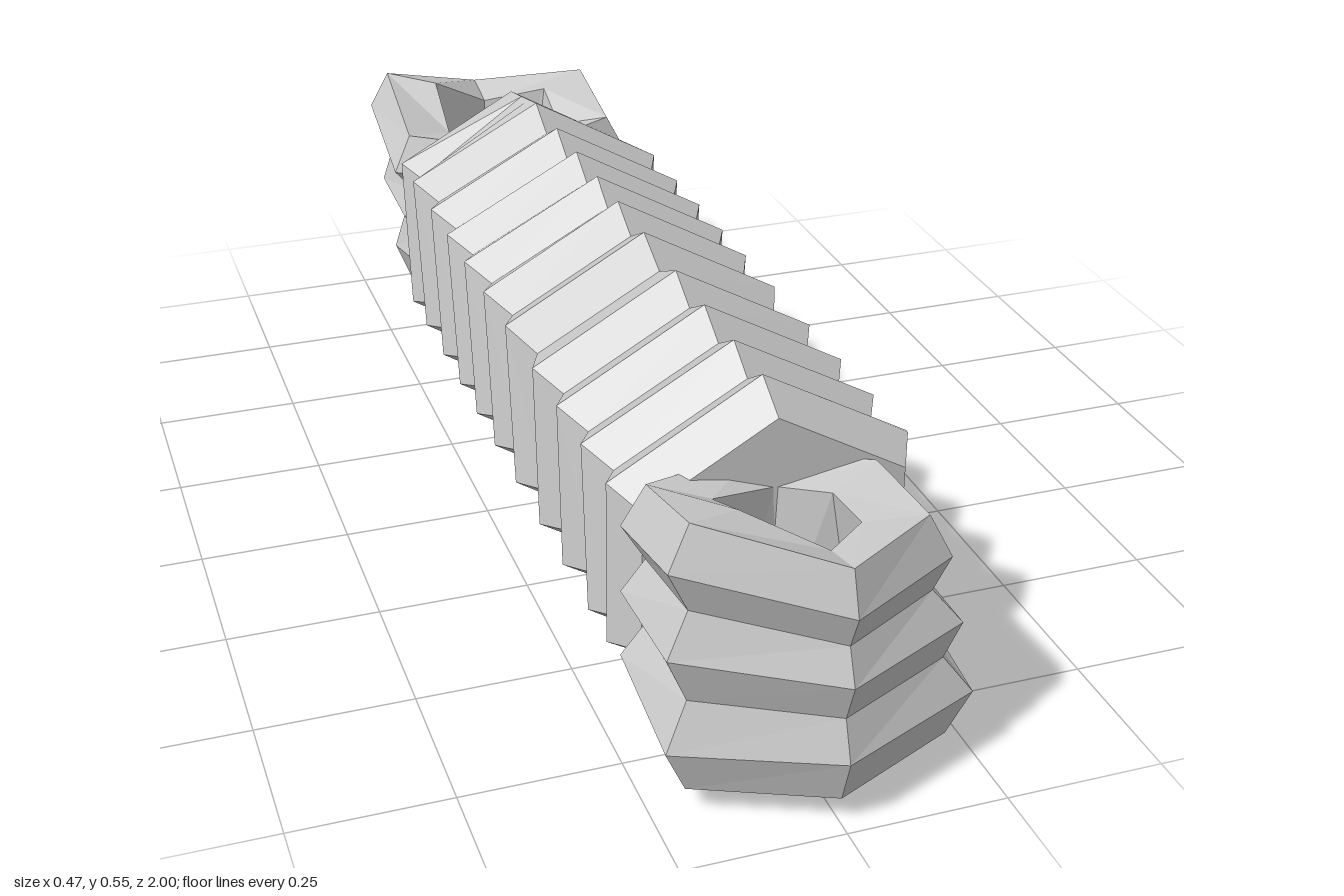
import * as THREE from 'three';

const material = new THREE.MeshStandardMaterial({ color: 0xcccccc, flatShading: true, side: THREE.DoubleSide });
const STEP = Math.PI / 3;
const lerp = THREE.MathUtils.lerp;

// Skins neighbouring columns of points, each column being one cross-section
function loft(name, columns) {
  const positions = [];
  const tri = (...corners) => corners.forEach(p => positions.push(p.x, p.y, p.z));
  for (let j = 0; j < columns.length - 1; j++) {
    for (let i = 0; i < columns[j].length - 1; i++) {
      const a = columns[j][i], b = columns[j][i + 1], c = columns[j + 1][i + 1], d = columns[j + 1][i];
      tri(a, d, c);
      tri(a, c, b);
    }
  }
  const geometry = new THREE.BufferGeometry();
  geometry.setAttribute('position', new THREE.Float32BufferAttribute(positions, 3));
  geometry.computeVertexNormals();
  const mesh = new THREE.Mesh(geometry, material);
  mesh.name = name;
  return mesh;
}

// Long helical winding around the z axis, squared off at both ends
function mainWinding() {
  // Ridge positions along the top and along the bottom
  const top = [0.635, 0.635, 0.52, 0.395, 0.265, 0.11, -0.025, -0.14, -0.26, -0.38, -0.515, -0.615];
  const bottom = [0.635, 0.57, 0.43, 0.305, 0.18, 0.05, -0.075, -0.19, -0.315, -0.44, -0.56];
  const toBottom = [0, 0.1, 0.75, 1];
  const columns = [];
  for (let j = 0; j <= 6; j++) {
    const ridges = bottom.map((b, i) => {
      const toTop = [0, 0.5, i > 5 ? 1.3 : 1.1, 1];
      return j <= 3 ? lerp(top[i], b, toBottom[j]) : lerp(b, top[i + 1], toTop[j - 3]);
    });
    const at = (r, z) => new THREE.Vector3(r * Math.sin(j * STEP), 0.278 + r * Math.cos(j * STEP), z);
    const column = [at(0, 0.7), at(0.235, 0.7)];
    ridges.forEach((z, i) => {
      // The winding runs out in a straight slope at the top of the back end
      const runsOut = j === 6 && i === ridges.length - 1;
      if (i > 0) {
        const gap = ridges[i - 1] - z;
        const depth = runsOut ? 0.011 : 0.036 * Math.min(1, (gap / 0.1) ** 3);
        column.push(at(0.273 - depth, z + gap / 2));
      }
      column.push(at(runsOut ? 0.251 : 0.273, z));
    });
    column.push(at(0.235, -0.69), at(0, -0.69));
    columns.push(column);
  }
  return loft('mainWinding', columns);
}

// Short upright winding of three ridges around a straight-walled eye.
// Columns run from the tip round by +x; shape gives size, eye width and side inset by height 0..1.
function endWinding(name, facing, ridgeColumns, shape) {
  const columns = ridgeColumns.map((ridges, j) => {
    const s = Math.sin(j * STEP), c = Math.cos(j * STEP);
    const at = (rx, rz, y, inset) =>
      new THREE.Vector3(s * rx - (s > 0.1 ? inset : 0), y, facing * (0.798 + c * rz));
    const [low, mid, high] = ridges;
    const levels = [low - 0.074, low, (low + mid) / 2, mid, (mid + high) / 2, high, high + 0.068];
    const outer = levels.map((y, i) => {
      const { scale, inset } = shape(THREE.MathUtils.clamp((i - 1) / 4, 0, 1));
      const ridge = i % 2;
      return at((ridge ? 0.272 : 0.233) * scale, (ridge ? 0.2 : 0.177) * scale, y, inset);
    });
    const bottom = shape(0), top = shape(1);
    return [
      ...outer,
      at(top.eye, 0.1, high + 0.05, top.inset),
      at(bottom.eye, 0.092, low - 0.07, bottom.inset),
      outer[0],
    ];
  });
  columns.push(columns[0]);
  return loft(name, facing > 0 ? columns : columns.reverse());
}

export function createModel() {
  const group = new THREE.Group();
  group.name = 'ropeBundle';
  group.add(mainWinding());

  // Front eye rises on one side and draws in on the other
  group.add(endWinding('frontWinding', 1, [
    [0.122, 0.25, 0.362],
    [0.125, 0.25, 0.365],
    [0.16, 0.25, 0.355],
    [0.17, 0.25, 0.35],
    [0.16, 0.27, 0.38],
    [0.123, 0.28, 0.42],
  ], t => ({ scale: 1, eye: 0.135, inset: 0.05 * t })));

  // Back eye tightens towards the bottom
  group.add(endWinding('backWinding', -1, [
    [0.18, 0.262, 0.37],
    [0.13, 0.27, 0.4],
    [0.17, 0.27, 0.36],
    [0.18, 0.27, 0.35],
    [0.17, 0.27, 0.37],
    [0.13, 0.28, 0.438],
  ], t => ({ scale: lerp(0.86, 1, t), eye: lerp(0.075, 0.13, t), inset: 0 })));

  return group;
}
